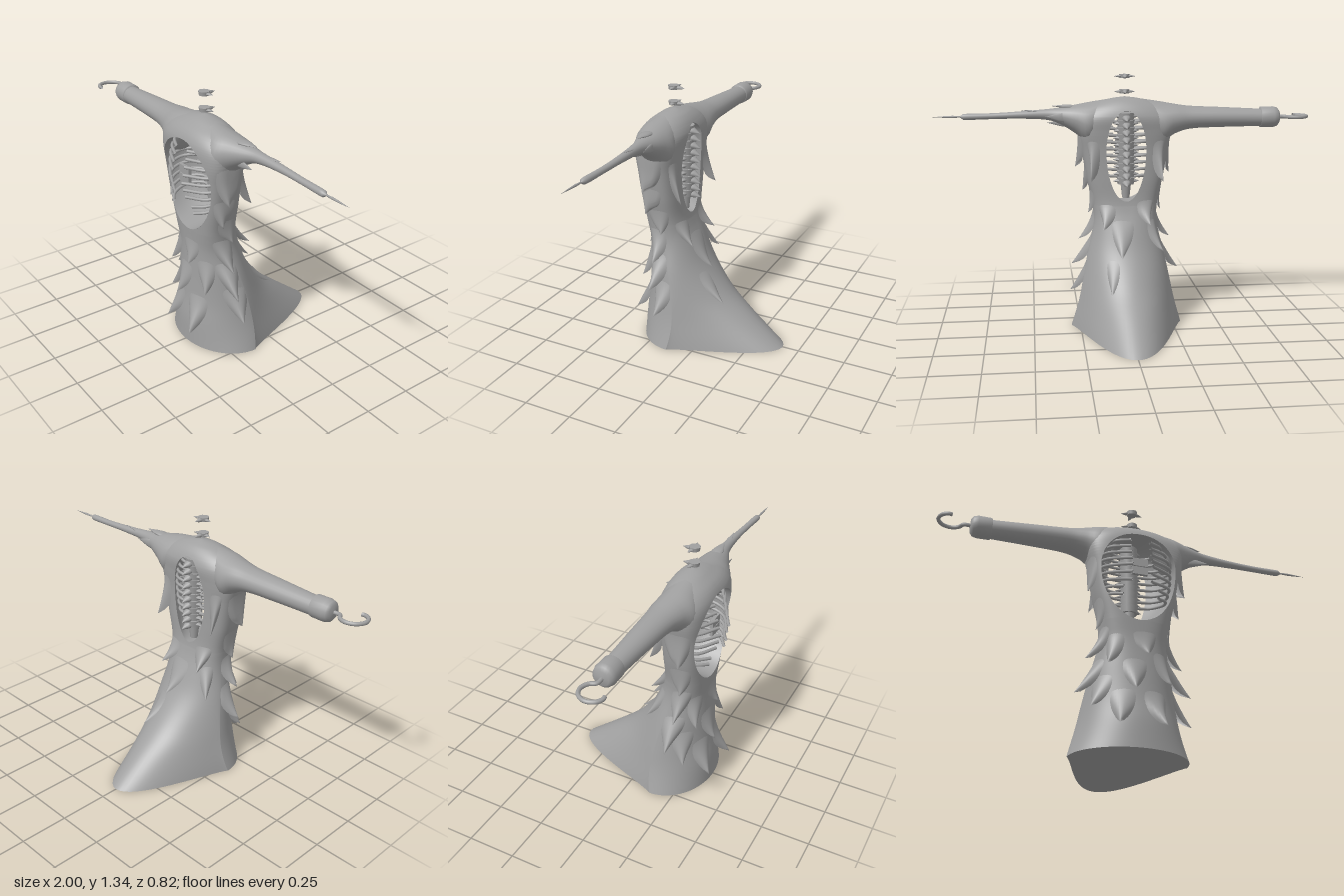
import * as THREE from 'three';
import { mergeGeometries, mergeVertices } from 'three/addons/utils/BufferGeometryUtils.js';

const V = (x, y, z) => new THREE.Vector3(x, y, z);
const grey = new THREE.MeshStandardMaterial({ color: 0xa0a0a0, side: THREE.DoubleSide });
grey.name = 'plain grey';

// Robe outline: height, half width, front z, back z, squareness, rear sharpness
const OUTLINE = [
  [0, 0.298, 0.365, -0.41, 1, 2.6], [0.14, 0.258, 0.36, -0.23, 1, 2.2], [0.25, 0.235, 0.345, -0.1, 1, 1.8],
  [0.4, 0.205, 0.335, 0.015, 0.95, 1.4], [0.55, 0.172, 0.33, 0.08, 0.85, 1.1], [0.66, 0.175, 0.335, 0.115, 0.7, 1],
  [0.8, 0.205, 0.34, 0.122, 0.6, 1], [0.95, 0.23, 0.345, 0.12, 0.55, 1], [1.05, 0.25, 0.352, 0.11, 0.6, 1],
  [1.12, 0.25, 0.35, 0.103, 0.75, 1], [1.17, 0.21, 0.325, 0.12, 0.9, 1], [1.205, 0.13, 0.28, 0.15, 1, 1],
  [1.22, 0.06, 0.25, 0.18, 1, 1], [1.228, 0, 0.215, 0.205, 1, 1],
];
const FRONT_HOLE = { low: 0.655, wide: 0.95, high: 1.13, half: 0.195 };
const BACK_HOLE = { low: 0.68, wide: 0.95, high: 1.16, half: 0.105 };

// Smooth interpolation through a table keyed by its first column
function sample(table, t) {
  const n = table.length;
  let i = 0;
  while (i < n - 2 && t > table[i + 1][0]) i++;
  const a = table[i], b = table[i + 1], h = b[0] - a[0], u = (t - a[0]) / h;
  const slope = (j, k) => {
    const p = table[Math.max(j - 1, 0)], q = table[Math.min(j + 1, n - 1)];
    return (q[k] - p[k]) / (q[0] - p[0]);
  };
  return a.slice(1).map((v, c) => {
    const k = c + 1, u2 = u * u, u3 = u2 * u;
    return v * (2 * u3 - 3 * u2 + 1) + b[k] * (3 * u2 - 2 * u3)
      + h * (slope(i, k) * (u3 - 2 * u2 + u) + slope(i + 1, k) * (u3 - u2));
  });
}

// Point on the robe; angle 0 is the front, PI the back, negative angles the right side
function robePoint(angle, y) {
  const [w, zf, zb, e, q] = sample(OUTLINE, y);
  const zm = THREE.MathUtils.lerp(0.13, (zf + zb) / 2, Math.min(y / 0.6, 1));
  const c = Math.cos(angle), s = Math.sin(angle);
  const z = c > 0 ? zm + (zf - zm) * c ** e : zm + (zb - zm) * (-c) ** (e * q);
  return V(Math.max(w, 0) * Math.sign(s) * Math.abs(s) ** e, y, z);
}

// Egg-shaped opening: relative width at a height, angle of its edge, and closely spaced heights
function egg(hole, y) {
  const d = (y - hole.wide) / (y > hole.wide ? hole.high - hole.wide : hole.wide - hole.low);
  return Math.sqrt(Math.max(0, 1 - d * d));
}
function edgeAngle(hole, y) {
  const [w, , , e] = sample(OUTLINE, y);
  return w > 0 ? Math.asin(Math.min(0.95, hole.half * egg(hole, y) / w) ** (1 / e)) : 0;
}
const holeHeights = hole => Array.from({ length: 41 },
  (_, i) => hole.low + (hole.high - hole.low) * (1 - Math.cos(Math.PI * i / 40)) / 2);

// Skin over rows of points
function loft(rows, flip = false) {
  const n = rows[0].length, index = [];
  for (let i = 0; i < rows.length - 1; i++) for (let j = 0; j < n - 1; j++) {
    const a = i * n + j, b = a + 1, c = a + n, d = c + 1;
    index.push(...(flip ? [a, c, b, b, c, d] : [a, b, c, b, d, c]));
  }
  const g = new THREE.BufferGeometry().setFromPoints(rows.flat());
  g.setIndex(index);
  return g;
}
function smooth(geometry) {
  const g = mergeVertices(geometry, 1e-5);
  g.computeVertexNormals();
  return g;
}
function mirroredLoft(rows) {
  const other = rows.map(r => r.map(p => V(-p.x, p.y, p.z)));
  return smooth(mergeGeometries([loft(rows), loft(other, true)]));
}

function add(parent, name, geometry) {
  const m = new THREE.Mesh(geometry, grey);
  m.name = name;
  parent.add(m);
  return m;
}
function tube(parent, name, points, r, segments = 20) {
  return add(parent, name, new THREE.TubeGeometry(new THREE.CatmullRomCurve3(points), segments, r, 8));
}

// Flattened pointed splinter from root to tip, facing along normal
function splinter(parent, name, root, tip, width, normal, flat = 0.35) {
  const dir = tip.clone().sub(root), len = dir.length();
  dir.normalize();
  const side = dir.clone().cross(normal).normalize();
  const g = new THREE.LatheGeometry([[0, 0], [0.7, 0.12], [1, 0.35], [0.75, 0.6], [0, 1]]
    .map(([r, y]) => new THREE.Vector2(r * width, y * len)), 10);
  g.scale(1, 1, flat);
  const m = add(parent, name, g);
  m.quaternion.setFromRotationMatrix(new THREE.Matrix4().makeBasis(side, dir, side.clone().cross(dir)));
  m.position.copy(root);
}

// Pointed flap that grows out of the robe and lifts away toward its tip
function furLock(parent, degrees, tipY, length, spread, lift) {
  const a = degrees * Math.PI / 180, n = V(Math.sin(a), 0, Math.cos(a));
  const rows = Array.from({ length: 11 }, (_, i) => {
    const v = i / 10;
    return Array.from({ length: 11 }, (_, j) => {
      const u = j / 5 - 1;
      const p = robePoint(a + u * spread * (1 - v ** 2), tipY + length * (1 - v));
      return p.addScaledVector(n, lift * v ** 1.2 * (1 - u * u * (1 - v ** 6)) - 0.002 * (1 - v));
    });
  });
  add(parent, 'furLock', smooth(loft(rows, true)));
}

// Bone with a round body, two side processes and a rear spine
function vertebra(parent, name, y, z, r, h, sideReach, backReach, drop) {
  const g = new THREE.Group();
  g.name = name;
  g.position.set(0, y, z);
  add(g, 'vertebraBody', new THREE.CylinderGeometry(r, r * 0.9, h, 12));
  for (const s of [-1, 1]) splinter(g, 'sideProcess', V(0, 0, 0), V(s * sideReach, 0, -0.012), h * 0.65, V(0, 1, 0), 0.6);
  splinter(g, 'rearProcess', V(0, 0, 0), V(0, -drop, -backReach), h * 0.7, V(0, 1, 0), 0.8);
  parent.add(g);
}

export function createModel() {
  const model = new THREE.Group();
  model.name = 'tatteredWraith';

  // Robe with a chest opening running through to the back
  const frontRows = holeHeights(FRONT_HOLE), backRows = holeHeights(BACK_HOLE);
  const heights = [...frontRows, ...backRows];
  for (let i = 0; i < 24; i++) heights.push(FRONT_HOLE.low * i / 24);
  for (let i = 1; i <= 14; i++) heights.push(BACK_HOLE.high + (1.228 - BACK_HOLE.high) * Math.sin(Math.PI / 2 * i / 14));
  heights.sort((a, b) => a - b);
  const skin = heights.map(y => {
    const a = edgeAngle(FRONT_HOLE, y), b = Math.PI - edgeAngle(BACK_HOLE, y);
    return Array.from({ length: 41 }, (_, j) => robePoint(a + (b - a) * j / 40, y));
  });
  add(model, 'robe', mirroredLoft(skin));
  add(model, 'robeBase', mirroredLoft([skin[0].map(p => V(0, 0, p.z)), skin[0]]));
  const tunnel = frontRows.map((y, i) => {
    const f = robePoint(edgeAngle(FRONT_HOLE, y), y);
    const b = robePoint(Math.PI - edgeAngle(BACK_HOLE, backRows[i]), backRows[i]);
    return Array.from({ length: 11 }, (_, j) => {
      const p = f.clone().lerp(b, j / 10);
      p.x += 0.035 * egg(FRONT_HOLE, y) * Math.sin(Math.PI * j / 10);
      return p;
    });
  });
  add(model, 'chestCavity', mirroredLoft(tunnel));

  // Fur locks: angle in degrees (positive to the left), tip height, length, spread, lift
  const locks = [
    [85, 0.85, 0.2, 0.5, 0.05], [-85, 0.81, 0.2, 0.5, 0.04], [80, 0.72, 0.15, 0.45, 0.04],
    [-82, 0.61, 0.18, 0.45, 0.03], [95, 0.61, 0.14, 0.45, 0.03], [78, 0.46, 0.17, 0.42, 0.065],
    [-75, 0.46, 0.17, 0.42, 0.065], [72, 0.32, 0.18, 0.38, 0.085], [-74, 0.29, 0.18, 0.38, 0.075],
    [74, 0.18, 0.18, 0.35, 0.065], [-40, 0.41, 0.18, 0.36, 0.045], [-8, 0.28, 0.18, 0.32, 0.045],
    [35, 0.33, 0.18, 0.33, 0.045], [-52, 0.2, 0.18, 0.32, 0.05], [-22, 0.1, 0.2, 0.3, 0.055],
    [18, 0.1, 0.2, 0.3, 0.065], [8, 0.47, 0.14, 0.35, 0.03], [143, 0.79, 0.22, 0.26, 0.07],
    [-143, 0.79, 0.22, 0.26, 0.07], [148, 0.54, 0.13, 0.38, 0.055], [-150, 0.56, 0.13, 0.38, 0.055],
    [172, 0.4, 0.2, 0.35, 0.035], [-130, 0.42, 0.17, 0.3, 0.045], [158, 0.23, 0.17, 0.2, 0.03],
  ];
  for (const lock of locks) furLock(model, ...lock);

  // Sleeves: distance from centre, top, bottom, front, back
  const sleeve = (name, s, table) => {
    const x0 = table[0][0], x1 = table[table.length - 1][0];
    const rows = Array.from({ length: 41 }, (_, i) => {
      const x = x0 + (x1 - x0) * i / 40, [t, b, f, k] = sample(table, x);
      return Array.from({ length: 25 }, (_, j) => {
        const a = Math.PI * 2 * j / 24;
        return V(s * x, (t + b) / 2 + (t - b) / 2 * Math.sin(a), (f + k) / 2 + (f - k) / 2 * Math.cos(a));
      });
    });
    add(model, name, smooth(loft(rows)));
  };
  sleeve('rightSleeve', -1, [
    [0.1, 1.213, 1.1, 0.29, 0.15], [0.19, 1.199, 0.98, 0.325, 0.115], [0.26, 1.187, 1.025, 0.3, 0.12],
    [0.34, 1.176, 1.052, 0.28, 0.13], [0.5, 1.168, 1.06, 0.265, 0.138], [0.75, 1.155, 1.063, 0.247, 0.15],
  ]);
  sleeve('leftSleeve', 1, [
    [0.1, 1.213, 1.1, 0.29, 0.15], [0.19, 1.199, 0.98, 0.325, 0.115], [0.26, 1.187, 1.035, 0.29, 0.13],
    [0.33, 1.175, 1.08, 0.255, 0.152], [0.4, 1.167, 1.108, 0.228, 0.168], [0.55, 1.156, 1.118, 0.213, 0.173],
    [0.7, 1.148, 1.117, 0.211, 0.178], [0.83, 1.146, 1.114, 0.215, 0.182], [0.85, 1.142, 1.118, 0.212, 0.187],
    [0.86, 1.131, 1.129, 0.2, 0.198],
  ]);
  // Torn sleeve ends on the left arm
  splinter(model, 'tornSleeve', V(0.24, 1.175, 0.21), V(0.39, 1.182, 0.2), 0.03, V(0, 1, 0));
  splinter(model, 'tornSleeve', V(0.24, 1.085, 0.235), V(0.41, 1.09, 0.24), 0.022, V(0, 0, 1));
  splinter(model, 'tornSleeve', V(0.25, 1.12, 0.165), V(0.42, 1.13, 0.155), 0.028, V(0, 0, 1));
  splinter(model, 'tornSleeve', V(0.38, 1.145, 0.2), V(0.55, 1.164, 0.185), 0.018, V(0, 1, 0));
  splinter(model, 'leftSpike', V(0.84, 1.131, 0.2), V(1, 1.13, 0.202), 0.006, V(0, 1, 0), 1);

  // Cuff and hook on the right arm
  const cuff = add(model, 'hookCuff', new THREE.LatheGeometry([[0.045, 0], [0.055, 0.004], [0.056, 0.07],
    [0.05, 0.092], [0.035, 0.104], [0, 0.107]].map(p => new THREE.Vector2(...p)), 24));
  cuff.rotation.z = Math.PI / 2;
  cuff.position.set(-0.727, 1.112, 0.198);
  const hook = [[-0.82, 0.2], [-0.865, 0.198], [-0.885, 0.17], [-0.925, 0.155], [-0.968, 0.172],
    [-0.99, 0.215], [-0.975, 0.258], [-0.945, 0.275], [-0.93, 0.272]].map(([x, z]) => V(x, 1.112, z));
  tube(model, 'hook', hook, 0.01, 40);

  // Spine, ribs and breastbone
  for (let i = 0; i < 10; i++) vertebra(model, 'vertebra', 1.13 - i * 0.038, 0.155, 0.048, 0.036, 0.07, 0.086, 0.02);
  add(model, 'tailBone', new THREE.CylinderGeometry(0.03, 0.02, 0.09, 10)).position.set(0, 0.74, 0.16);
  for (let i = 0; i < 9; i++) {
    const y = 1.095 - i * 0.036, w = 0.18 * egg(FRONT_HOLE, y - 0.02) + 0.005, drop = 0.008 + i * 0.003;
    const end = i > 6 ? 0.09 : 0.05, z = 0.388 - 0.009 * Math.abs(i - 4);
    for (const s of [-1, 1]) tube(model, 'rib', [V(s * 0.02, y, 0.16), V(s * w * 0.65, y + 0.008, 0.16),
      V(s * w, y, 0.23), V(s * w * 0.9, y - drop * 0.6, 0.31), V(s * end, y - drop, z)], 0.008);
  }
  for (let i = 0; i < 2; i++)
    add(model, 'breastbone', new THREE.BoxGeometry(0.08, 0.042, 0.016)).position.set(0, 0.97 - i * 0.046, 0.335);

  // Loose neck bones floating above the collar
  for (const y of [1.253, 1.333]) vertebra(model, 'neckBone', y, 0.217, 0.028, 0.02, 0.058, 0.062, 0.003);

  return model;
}
